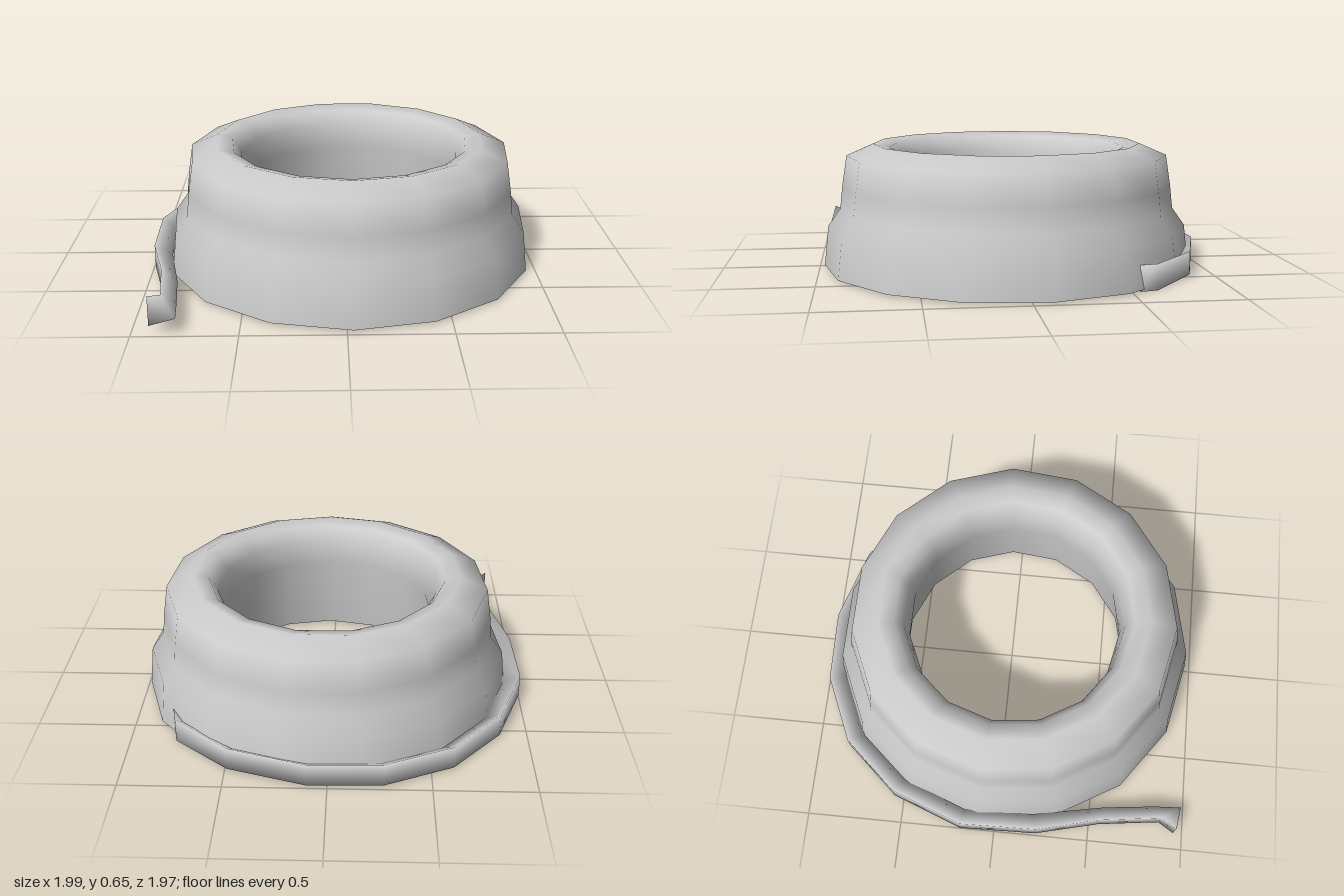
import * as THREE from 'three';

const material = new THREE.MeshStandardMaterial({ color: 0xcccccc, side: THREE.DoubleSide });

// Hollow ring: outer wall, rounded rim and inner wall, open underneath
function makeRing() {
  const profile = [
    [0.965, 0.01], [0.942, 0.22], [0.878, 0.31], [0.865, 0.43], [0.84, 0.59],
    [0.7, 0.65], [0.62, 0.63], [0.575, 0.56], [0.555, 0.43], [0.61, 0.01],
  ].map(([r, y]) => new THREE.Vector2(r, y));
  const ring = new THREE.Mesh(new THREE.LatheGeometry(profile, 15), material);
  ring.name = 'hollowRing';
  ring.position.set(0.03, 0, 0.01);
  return ring;
}

// Three-sided cord: each section has an upright outer edge and a ridge facing inward
function makeCord() {
  // outer x, outer z, bottom y, top y, ridge x, ridge z
  const sections = [
    [-0.92, 0.95, 0.03, 0.18, -0.79, 0.98],
    [-0.87, 0.87, 0.03, 0.15, -0.80, 0.84],
    [-0.91, 0.55, 0.02, 0.14, -0.83, 0.57],
    [-0.99, 0.22, 0.01, 0.13, -0.90, 0.20],
    [-1.00, -0.18, 0.01, 0.13, -0.91, -0.16],
    [-0.86, -0.55, 0.01, 0.13, -0.78, -0.50],
    [-0.61, -0.83, 0.01, 0.13, -0.56, -0.75],
    [-0.27, -0.98, 0.01, 0.13, -0.25, -0.89],
    [0.10, -0.99, 0.01, 0.13, 0.09, -0.90],
    [0.49, -0.87, 0.01, 0.13, 0.45, -0.79],
    [0.77, -0.63, 0.00, 0.13, 0.70, -0.58],
    [0.79, -0.54, 0.00, 0.13, 0.71, -0.52],
  ];
  const positions = [];
  const index = [];
  sections.forEach(([x, z, low, high, rx, rz], i) => {
    positions.push(x, low, z, x, high, z, rx, (low + high) / 2 - (i === 0 ? 0.025 : 0), rz);
    if (i === 0) return;
    for (let k = 0; k < 3; k++) {
      const a = (i - 1) * 3 + k, b = (i - 1) * 3 + (k + 1) % 3;
      index.push(a, a + 3, b, b, a + 3, b + 3);
    }
  });
  // End caps
  const last = (sections.length - 1) * 3;
  index.push(0, 1, 2, last, last + 2, last + 1);
  // Turn every face outward
  for (let i = 0; i < index.length; i += 3) [index[i + 1], index[i + 2]] = [index[i + 2], index[i + 1]];
  const geometry = new THREE.BufferGeometry();
  geometry.setAttribute('position', new THREE.Float32BufferAttribute(positions, 3));
  geometry.setIndex(index);
  geometry.computeVertexNormals();
  const cord = new THREE.Mesh(geometry, material);
  cord.name = 'trailingCord';
  return cord;
}

export function createModel() {
  const model = new THREE.Group();
  model.name = 'ringWithCord';
  model.add(makeRing(), makeCord());
  return model;
}
